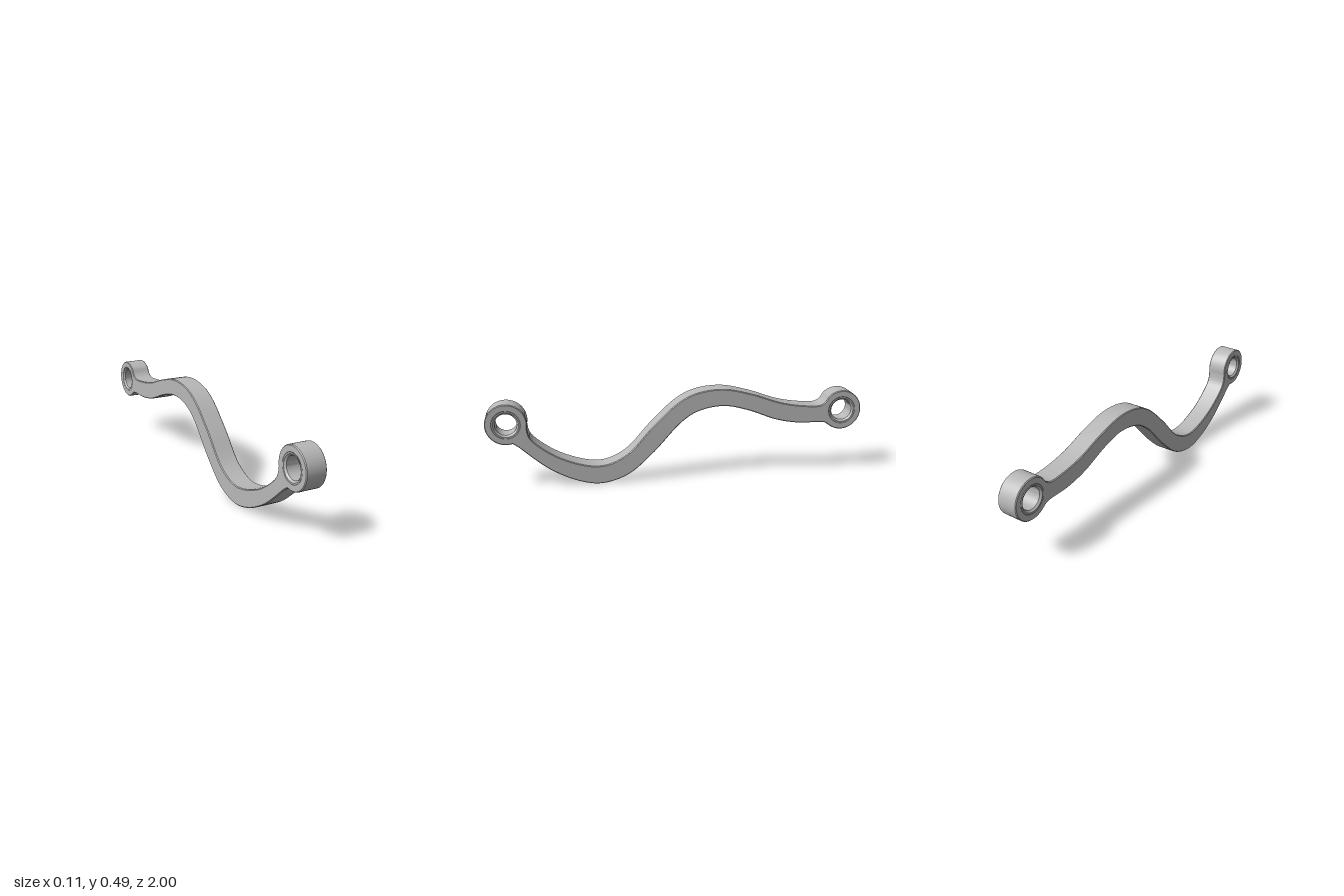
import * as THREE from 'three';
import { toCreasedNormals } from 'three/addons/utils/BufferGeometryUtils.js';

const HALF_WIDTH = 0.054;
const BEVEL = 0.004;
const EYE = { along: 0.893, y: 0.35, radius: 0.107 };
const rad = THREE.MathUtils.degToRad;

// Counterclockwise arc around one eye, in profile coordinates
function eyeArc(cx, from, to, steps = 40) {
  return Array.from({ length: steps + 1 }, (_, i) => {
    const a = rad(from + (to - from) * i / steps);
    return new THREE.Vector2(cx + EYE.radius * Math.cos(a), EYE.y + EYE.radius * Math.sin(a));
  });
}

// Smooth edge from one arc end to the next, without its two end points
function edge(start, middle, end) {
  const pts = [start, ...middle.map(([x, y]) => new THREE.Vector2(x, y)), end];
  const curve = new THREE.CatmullRomCurve3(pts.map(p => new THREE.Vector3(p.x, p.y, 0)));
  return curve.getPoints(pts.length * 6).slice(1, -1).map(p => new THREE.Vector2(p.x, p.y));
}

export function createModel() {
  const model = new THREE.Group();
  model.name = 'curvedLink';
  const steel = new THREE.MeshStandardMaterial({ color: 0xb8b8b8 });
  steel.name = 'light grey metal';

  // Side profile: horizontal axis runs from front to back
  const front = eyeArc(-EYE.along, -12, 286);
  const back = eyeArc(EYE.along, -130, 133);
  const lower = edge(front.at(-1), [
    [-0.835, 0.227], [-0.76, 0.16], [-0.675, 0.094], [-0.54, 0.027], [-0.415, 0.004],
    [-0.273, 0.046], [-0.14, 0.158], [0.02, 0.327], [0.11, 0.38], [0.24, 0.4],
    [0.37, 0.372], [0.53, 0.312], [0.66, 0.288], [0.77, 0.287], [0.8, 0.283],
  ], back[0]);
  const upper = edge(back.at(-1), [
    [0.797, 0.395], [0.77, 0.38], [0.69, 0.381], [0.557, 0.403], [0.396, 0.457],
    [0.24, 0.491], [0.1, 0.477], [0, 0.43], [-0.14, 0.302], [-0.284, 0.152],
    [-0.42, 0.102], [-0.62, 0.155], [-0.762, 0.256], [-0.782, 0.29],
  ], front[0]);
  const shape = new THREE.Shape([...front, ...lower, ...back, ...upper]);

  for (const s of [-1, 1]) {
    const hole = new THREE.Path();
    hole.absarc(s * EYE.along, EYE.y, 0.07, 0, Math.PI * 2, true);
    shape.holes.push(hole);
  }

  // Bar and both eyes in one piece with chamfered edges
  const bar = new THREE.ExtrudeGeometry(shape, {
    depth: 2 * (HALF_WIDTH - BEVEL), curveSegments: 24,
    bevelSize: BEVEL, bevelThickness: BEVEL, bevelOffset: -BEVEL, bevelSegments: 1,
  });
  bar.translate(0, 0, BEVEL - HALF_WIDTH);
  bar.rotateY(Math.PI / 2);
  const barMesh = new THREE.Mesh(toCreasedNormals(bar, 0.6), steel);
  barMesh.name = 'bar';
  model.add(barMesh);

  // Chamfered bore lining in each eye
  const profile = [
    [0.072, HALF_WIDTH], [0.065, HALF_WIDTH], [0.056, HALF_WIDTH - 0.009],
    [0.056, 0.009 - HALF_WIDTH], [0.065, -HALF_WIDTH], [0.072, -HALF_WIDTH],
  ].map(([r, h]) => new THREE.Vector2(r, h));
  const lining = new THREE.LatheGeometry(profile, 48);
  lining.rotateZ(-Math.PI / 2);
  const bore = toCreasedNormals(lining, 0.6);
  for (const s of [1, -1]) {
    const mesh = new THREE.Mesh(bore, steel);
    mesh.name = s > 0 ? 'frontBore' : 'backBore';
    mesh.position.set(0, EYE.y, s * EYE.along);
    model.add(mesh);
  }
  return model;
}
